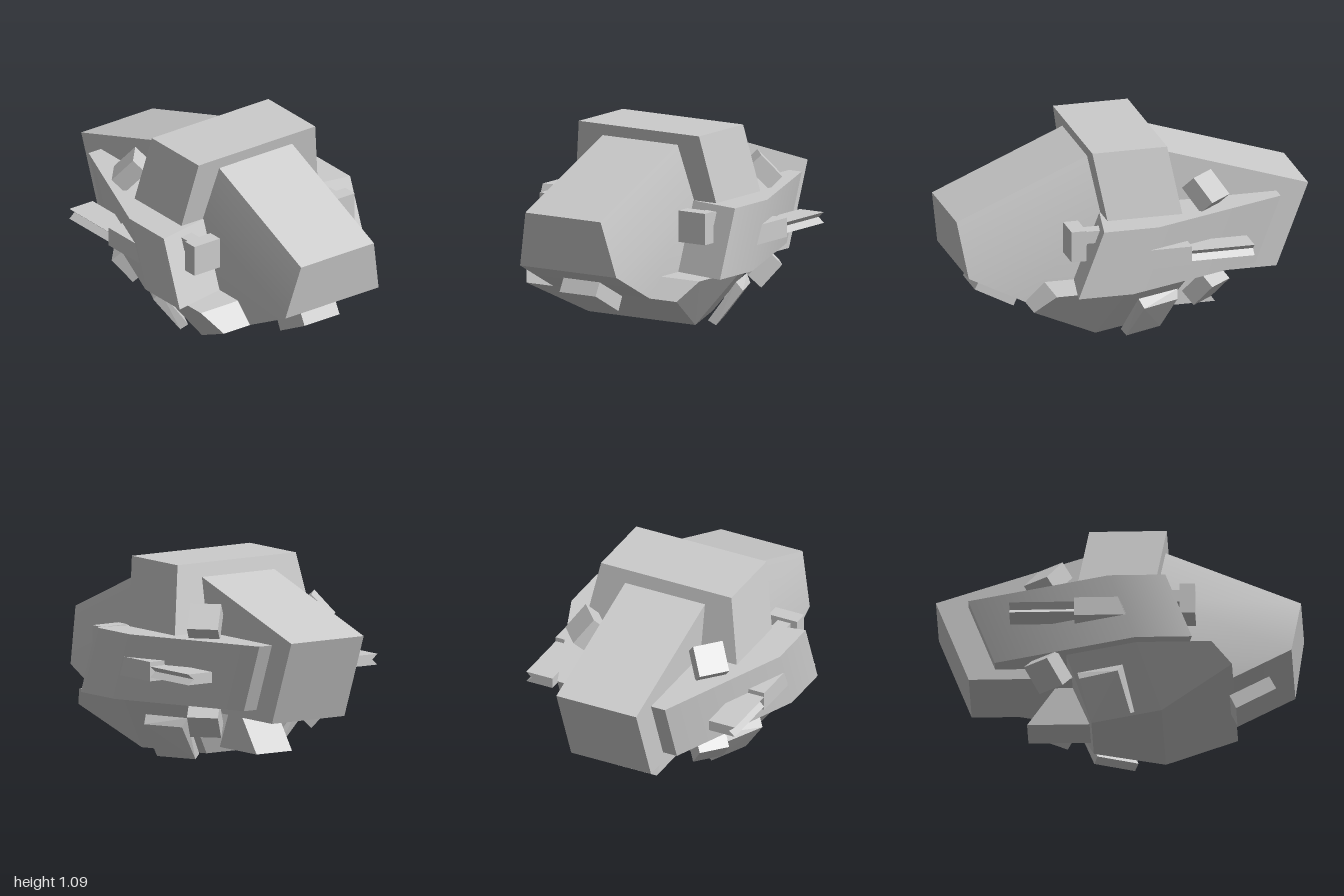
import * as THREE from 'three';
import { ConvexGeometry } from 'three/addons/geometries/ConvexGeometry.js';
import { toCreasedNormals } from 'three/addons/utils/BufferGeometryUtils.js';

const material = new THREE.MeshStandardMaterial({ color: 0xcccccc });
const V = (x, y, z) => new THREE.Vector3(x, y, z);

export function createModel() {
  const group = new THREE.Group();

  // Faceted solid from its corner points; smooth softens shallow edges
  function solid(name, points, smooth = false) {
    let geometry = new ConvexGeometry(points.map(p => V(...p)));
    if (smooth) geometry = toCreasedNormals(geometry, 0.5);
    const mesh = new THREE.Mesh(geometry, material);
    mesh.name = name;
    group.add(mesh);
  }
  const flip = points => points.map(([x, y, z]) => [-x, y, z]);
  // Solid symmetric about x = 0, from the corners of its +x half
  const centred = (name, half, smooth) => solid(name, [...half, ...flip(half)], smooth);
  // Left and right copies of one solid
  function pair(name, points, smooth) {
    solid(name + 'Left', points, smooth);
    solid(name + 'Right', flip(points), smooth);
  }
  // Side profile [z, y] given one half width
  const slab = (w, profile) => profile.map(([z, y]) => [w, y, z]);
  // Corners of a box between two limits
  function boxPoints([x0, x1], [y0, y1], [z0, z1]) {
    const out = [];
    for (const x of [x0, x1]) for (const y of [y0, y1]) for (const z of [z0, z1]) out.push([x, y, z]);
    return out;
  }

  // Central body
  centred('nose', [
    [0.25, 0.71, 1], [0.32, 0.4, 0.95], [0.32, 0.235, 0.63],
    [0.25, 1.05, 0.2], [0.32, 0.72, 0.2], [0.32, 0.235, 0.2],
  ], true);
  centred('rearBlock', slab(0.245, [[-0.1, 1.035], [-1, 0.745], [-0.82, 0.28], [-0.1, 0.28]]));
  centred('upperCabin', [
    [0.4, 1.09, 0.27], [0.4, 1.09, -0.155], [0.47, 0.7, 0.2], [0.47, 0.7, -0.225],
  ]);
  centred('lowerHull', [
    [0.575, 0.34, 0.52], [0.575, 0.34, 0.11], [0.42, 0.34, -0.28],
    [0.5, 0.235, 0.63], [0.355, 0.03, 0.24], [0.2, 0.03, -0.15],
  ]);
  centred('chinBox', slab(0.12, [[0.82, 0.335], [0.86, 0.26], [0.64, 0.145], [0.6, 0.23]]));
  centred('rearKeel', slab(0.12, [[-0.12, 0.06], [-0.505, 0.06], [-0.35, 0.28], [-0.22, 0.28]]));

  // Side armour: one plan outline, sheared forward towards the bottom
  const plan = [[0.64, 0.27], [0.64, -0.04], [0.33, -0.82], [0.2, -0.82], [0.2, 0.185]];
  pair('sideArmour', plan.flatMap(([x, z]) => [[x, 0.715, z], [x, 0.34, z + 0.145]]), true);

  // Feet on the tapering rear facets of the lower hull
  pair('foot', [
    [0.51, 0.2, 0.005], [0.375, 0.004, 0.07], [0.41, 0.2, -0.21], [0.275, 0.004, -0.15],
    [0.48, 0.25, 0.03], [0.335, 0.03, 0.09], [0.38, 0.25, -0.22], [0.235, 0.03, -0.13],
  ]);

  // Forward pods on short stems
  pair('frontPod', boxPoints([0.375, 0.55], [0.525, 0.7], [0.345, 0.43]));
  pair('frontPodStem', boxPoints([0.43, 0.51], [0.61, 0.68], [0.2, 0.35]));

  // Side pods, wedge shaped, with grooved rails trailing behind
  pair('sidePod', [
    [0.64, 0.478, 0.06], [0.64, 0.585, 0.01], [0.64, 0.478, -0.23], [0.64, 0.585, -0.23],
    [0.48, 0.478, -0.23], [0.48, 0.585, -0.23],
  ]);
  const section = new THREE.Shape([
    [0.48, 0.56], [0.48, 0.5], [0.64, 0.5], [0.605, 0.53], [0.64, 0.56],
  ].map(p => new THREE.Vector2(...p)));
  const rail = new THREE.ExtrudeGeometry(section, { depth: 0.36, bevelEnabled: false });
  rail.translate(0, 0, -0.585);
  // Mirrored rail: turned half round, as its section is symmetric in height
  const railRight = rail.clone().translate(0, -0.53, 0).rotateZ(Math.PI).translate(0, 0.53, 0);
  [['sideRailLeft', rail], ['sideRailRight', railRight]].forEach(([name, geometry]) => {
    const mesh = new THREE.Mesh(geometry, material);
    mesh.name = name;
    group.add(mesh);
  });

  // Four diagonal rear thrusters: one tilted box, mirrored in height and side
  const edge = V(0.115, 0, 0.13), outward = V(0.083, -0.125, -0.083), inward = V(-0.052, -0.07, 0.052);
  const thruster = [];
  for (const a of [0, 1]) for (const b of [0, 1]) for (const c of [0, 1]) {
    const p = V(0.305, 0.9, -0.43).addScaledVector(edge, a).addScaledVector(outward, b).addScaledVector(inward, c);
    thruster.push([p.x, p.y, p.z]);
  }
  pair('upperThruster', thruster);
  pair('lowerThruster', thruster.map(([x, y, z]) => [x, 1.06 - y, z]));

  return group;
}
